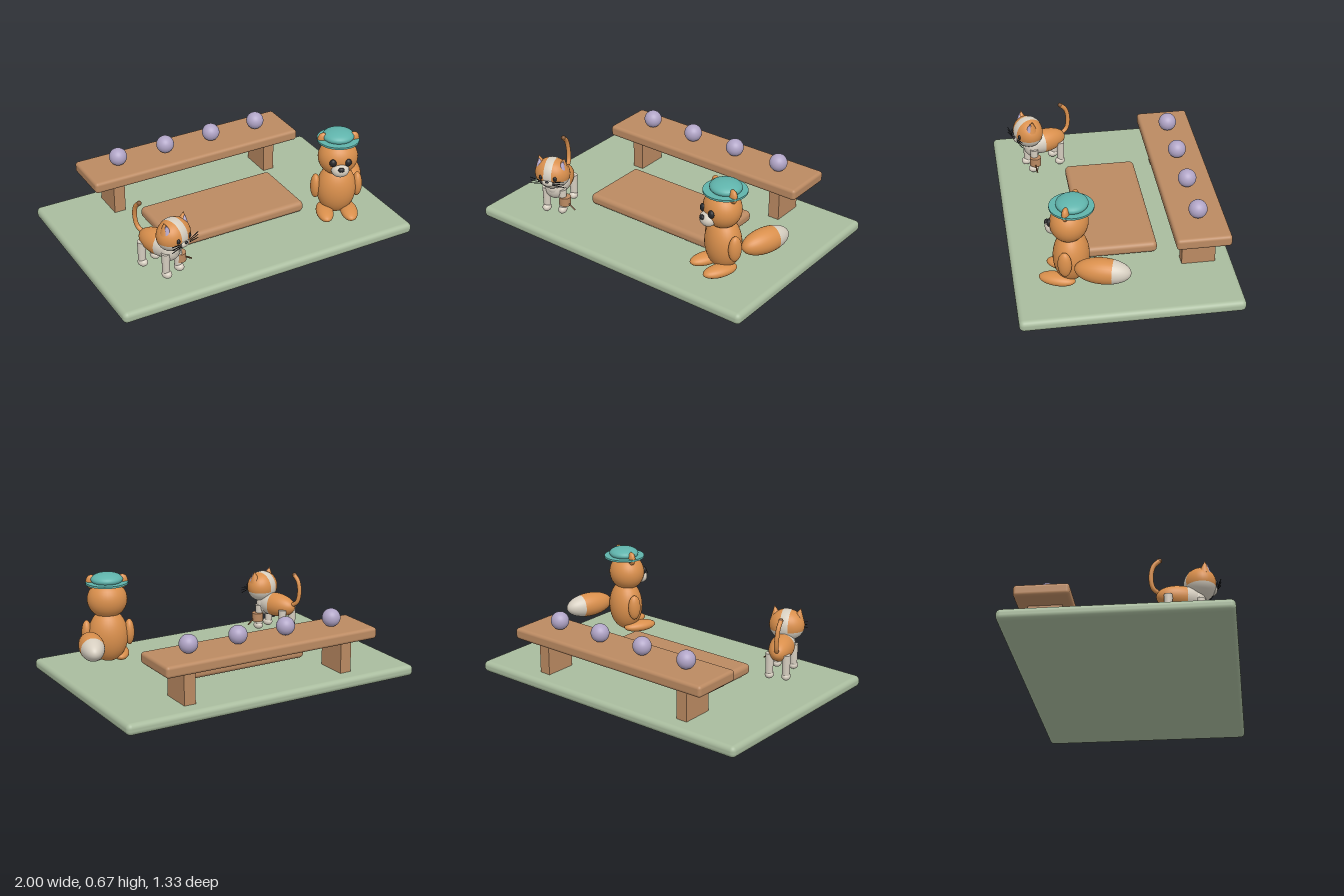
import * as THREE from 'three';
import { RoundedBoxGeometry } from 'three/addons/geometries/RoundedBoxGeometry.js';

const mat = (name, color) => {
  const m = new THREE.MeshStandardMaterial({ color });
  m.name = name;
  return m;
};

export function createModel() {
  const sage = mat('sage', 0xa9bc9e), wood = mat('wood', 0xbb8a62), orange = mat('orange', 0xd98f4c),
    cream = mat('cream', 0xd6cec0), purple = mat('purple', 0xb0a4c6), teal = mat('teal', 0x5fb3ab),
    black = mat('black', 0x262629), brown = mat('dark brown', 0x7d5330);

  const root = new THREE.Group();
  root.name = 'gardenScene';

  const add = (parent, name, geo, material, x, y, z) => {
    const m = new THREE.Mesh(geo, material);
    m.name = name;
    m.position.set(x, y, z);
    parent.add(m);
    return m;
  };
  // ellipsoid, or a latitude band of one between two polar angles
  const ball = (parent, name, material, pos, rad, from = 0, to = Math.PI) => {
    const m = add(parent, name, new THREE.SphereGeometry(1, 32, 20, 0, Math.PI * 2, from, to - from), material, ...pos);
    m.scale.set(...rad);
    return m;
  };
  const slab = (name, material, w, h, d, r, x, y, z) =>
    add(root, name, new RoundedBoxGeometry(w, h, d, 4, r), material, x, y, z);
  const rod = (parent, name, material, a, b, r) => {
    const path = new THREE.LineCurve3(new THREE.Vector3(...a), new THREE.Vector3(...b));
    add(parent, name, new THREE.TubeGeometry(path, 1, r, 6), material, 0, 0, 0);
  };
  const group = (name, x, z, yaw) => {
    const g = new THREE.Group();
    g.name = name;
    g.position.set(x, 0, z);
    g.rotation.y = yaw;
    root.add(g);
    return g;
  };

  // Ground, low platform and table with balls
  slab('ground', sage, 2, 0.072, 1.33, 0.03, 0, 0.036, 0);
  slab('platform', wood, 0.935, 0.072, 0.455, 0.028, 0, 0.118, 0);
  slab('tableTop', wood, 1.46, 0.072, 0.332, 0.02, 0, 0.316, -0.46);
  for (const s of [-1, 1])
    add(root, 'tableLeg', new THREE.BoxGeometry(0.075, 0.22, 0.205), wood, s * 0.547, 0.18, -0.457);
  for (let i = 0; i < 4; i++)
    ball(root, 'tableBall', purple, [-0.5 + i / 3, 0.408, -0.46], [0.057, 0.057, 0.057]);

  // Standing animal with a hat
  const fox = group('standingAnimal', 0.64, 0.32, -0.41);
  ball(fox, 'body', orange, [0, 0.265, 0], [0.125, 0.168, 0.107]);
  ball(fox, 'head', orange, [0, 0.495, 0.01], [0.125, 0.118, 0.113]);
  ball(fox, 'muzzle', cream, [0, 0.45, 0.108], [0.056, 0.045, 0.046]);
  ball(fox, 'nose', black, [0, 0.47, 0.146], [0.02, 0.015, 0.014]);
  for (const s of [-1, 1]) {
    ball(fox, 'eye', black, [s * 0.047, 0.502, 0.112], [0.022, 0.025, 0.018]);
    ball(fox, 'ear', orange, [s * 0.096, 0.612, 0], [0.034, 0.044, 0.022]);
    ball(fox, 'arm', orange, [s * 0.132, 0.282, 0], [0.032, 0.083, 0.042]);
    ball(fox, 'foot', orange, [s * 0.077, 0.126, 0.065], [0.054, 0.036, 0.112]);
  }
  add(fox, 'hatBrim', new THREE.CylinderGeometry(0.132, 0.132, 0.012, 40), teal, 0, 0.607, -0.007);
  ball(fox, 'hatCrown', teal, [0, 0.629, -0.01], [0.1, 0.04, 0.095]);

  // Bushy tail, its far end pale
  const tail = new THREE.Group();
  tail.name = 'bushyTail';
  tail.position.set(0.828, 0.265, 0.16);
  tail.rotation.set(-Math.PI / 2, 0, -0.3);
  root.add(tail);
  ball(tail, 'tailTip', cream, [0, 0, 0], [0.078, 0.166, 0.078], 0, 1.2);
  ball(tail, 'tailFur', orange, [0, 0, 0], [0.078, 0.166, 0.078], 1.2);

  // Cat, local +z is forward
  const cat = group('cat', -0.61, 0.36, 0.36);
  const bodyFront = ball(cat, 'bodyFront', cream, [0, 0.265, -0.015], [0.076, 0.15, 0.078], 0, 1.45);
  const bodyRear = ball(cat, 'bodyRear', orange, [0, 0.265, -0.015], [0.076, 0.15, 0.078], 1.45);
  bodyFront.rotation.x = bodyRear.rotation.x = Math.PI / 2;
  ball(cat, 'chest', cream, [0, 0.255, 0.07], [0.066, 0.075, 0.06]);
  for (const s of [-1, 1]) for (const z of [-0.11, 0.085]) {
    add(cat, 'leg', new THREE.CylinderGeometry(0.026, 0.023, 0.14, 20), cream, s * 0.053, 0.185, z);
    ball(cat, 'paw', cream, [s * 0.053, 0.112, z + 0.006], [0.028, 0.026, 0.034]);
  }

  // Cat head with a pale jaw and a pale stripe over the crown
  const head = new THREE.Group();
  head.name = 'catHead';
  head.position.set(0, 0.372, 0.1);
  cat.add(head);
  ball(head, 'crown', orange, [0, 0, 0], [0.112, 0.1, 0.094], 0, 1.82);
  ball(head, 'jaw', cream, [0, 0, 0], [0.112, 0.1, 0.094], 1.82);
  ball(head, 'muzzle', cream, [0, -0.03, 0.078], [0.042, 0.026, 0.026]);
  const stripe = ball(head, 'headStripe', cream, [0, 0, 0], [0.102, 0.1125, 0.0957], 1.34, 1.8);
  stripe.rotation.z = Math.PI / 2;
  ball(head, 'nose', black, [0, -0.017, 0.102], [0.011, 0.008, 0.008]);
  for (const s of [-1, 1]) {
    ball(head, 'eye', black, [s * 0.047, 0.002, 0.083], [0.012, 0.016, 0.01]);
    const ear = new THREE.Group();
    ear.name = 'ear';
    ear.position.set(s * 0.077, 0.08, 0.005);
    ear.rotation.z = -s * 0.2;
    head.add(ear);
    add(ear, 'earOuter', new THREE.ConeGeometry(0.036, 0.075, 24), orange, 0, 0, 0);
    add(ear, 'earInner', new THREE.ConeGeometry(0.026, 0.056, 24), purple, 0, -0.004, 0.014);
    for (const k of [-1, 0, 1])
      rod(head, 'whisker', black, [s * 0.035, -0.025 + k * 0.008, 0.096], [s * 0.112, -0.022 + k * 0.02, 0.092], 0.0025);
  }

  // Thin upright tail with a dark tip
  const pts = [[0, 0.28, -0.14], [-0.005, 0.31, -0.185], [-0.01, 0.38, -0.2], [-0.015, 0.45, -0.185], [-0.02, 0.488, -0.15]];
  const path = new THREE.CatmullRomCurve3(pts.map(p => new THREE.Vector3(...p)));
  add(cat, 'tail', new THREE.TubeGeometry(path, 32, 0.014, 12), orange, 0, 0, 0);
  ball(cat, 'tailEnd', brown, pts[4], [0.015, 0.015, 0.015]);

  // Small wooden cup with a stick beside the front paw
  add(root, 'cup', new THREE.CylinderGeometry(0.037, 0.037, 0.056, 24), wood, -0.515, 0.176, 0.415);
  rod(root, 'stick', brown, [-0.5, 0.176, 0.42], [-0.437, 0.13, 0.41], 0.005);

  return root;
}
